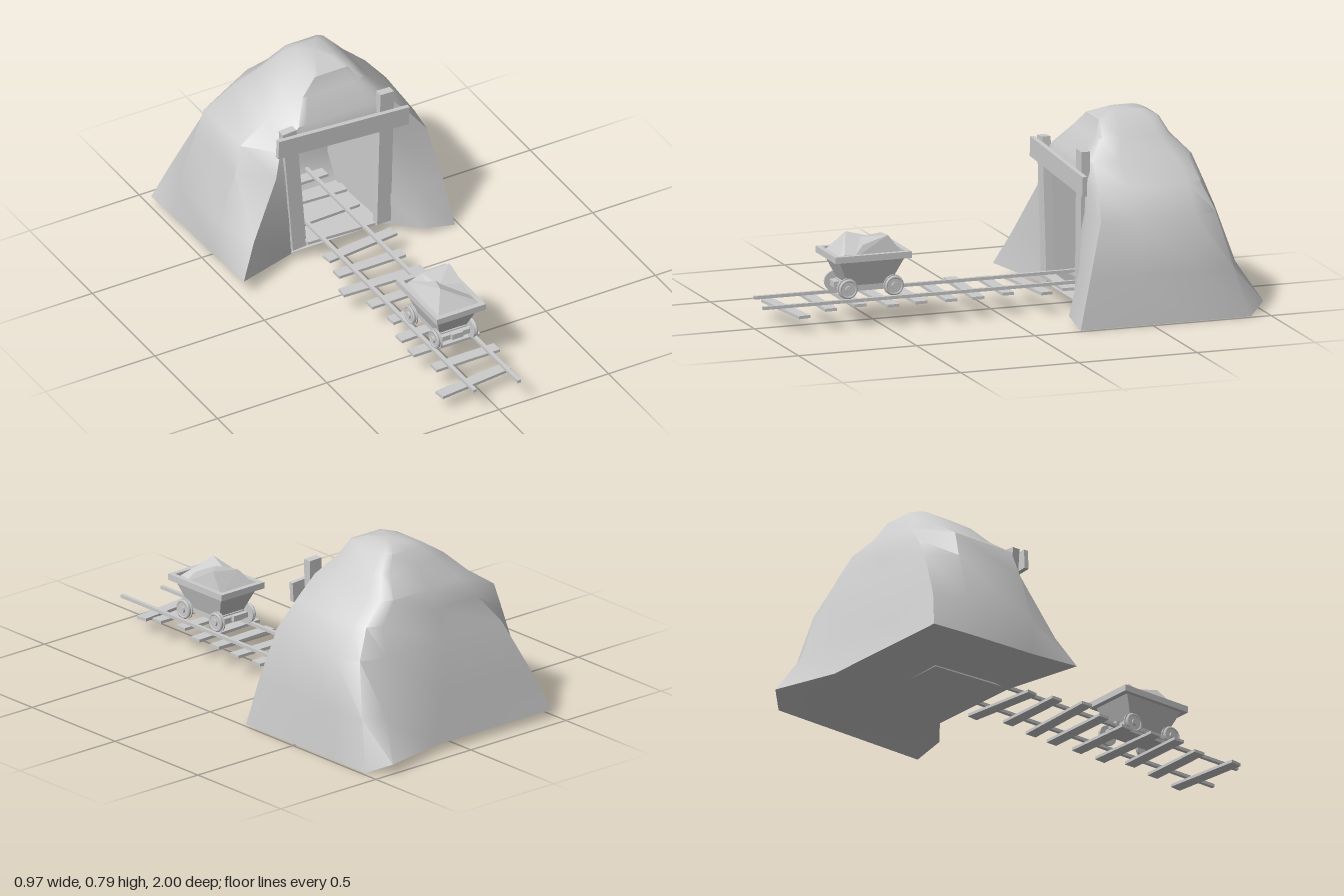
import * as THREE from 'three';
import { toCreasedNormals } from 'three/addons/utils/BufferGeometryUtils.js';
import { ConvexGeometry } from 'three/addons/geometries/ConvexGeometry.js';

const smooth = new THREE.MeshStandardMaterial({ color: 0xcccccc });
const flat = new THREE.MeshStandardMaterial({ color: 0xcccccc, flatShading: true });
const thin = new THREE.MeshStandardMaterial({ color: 0xcccccc, side: THREE.DoubleSide });

function add(parent, name, geometry, material = flat, pos = [0, 0, 0], rot = [0, 0, 0]) {
  const mesh = new THREE.Mesh(geometry, material);
  mesh.name = name;
  mesh.position.set(...pos);
  mesh.rotation.set(...rot);
  parent.add(mesh);
  return mesh;
}
const box = (parent, name, size, pos, rot) => add(parent, name, new THREE.BoxGeometry(...size), flat, pos, rot);

// Collects triangles, then smooths everything softer than the crease angle
function soup() {
  const v = [];
  const tri = (...p) => p.forEach((q) => v.push(...q));
  return {
    tri,
    quad(a, b, c, d) { tri(a, b, c); tri(a, c, d); },
    build(crease) {
      const g = new THREE.BufferGeometry();
      g.setAttribute('position', new THREE.Float32BufferAttribute(v, 3));
      return toCreasedNormals(g, crease);
    },
  };
}

// Rock hill: rings run from the left edge of the opening, round the back, to its right edge
function hillGeometry() {
  const foot = [[-.2, -.31], [-.485, -.19], [-.485, -.42], [-.485, -.74], [-.485, -.93], [.13, -.93], [.41, -1],
    [.485, -.92], [.485, -.72], [.485, -.45], [.485, -.2], [.35, -.2], [.22, -.31]];
  const footY = [.03, .065, .05, .04, .03, .03, .04, 0, 0, 0, 0, .03, .03];
  const low = [[-.2, -.305], [-.41, -.24], [-.47, -.41], [-.47, -.74], [-.42, -.88], [.05, -.89], [.36, -.9],
    [.45, -.86], [.468, -.71], [.466, -.45], [.46, -.25], [.33, -.25], [.22, -.305]];
  const mid = [[-.2, -.305], [-.275, -.3], [-.4, -.41], [-.4, -.73], [-.31, -.83], [0, -.835], [.3, -.835],
    [.41, -.8], [.455, -.7], [.44, -.45], [.42, -.31], [.29, -.3], [.22, -.305]];
  const shoulder = [[-.2, -.31], [-.25, -.31], [-.365, -.43], [-.365, -.72], [-.22, -.79], [0, -.79], [.28, -.79],
    [.34, -.76], [.36, -.7], [.36, -.45], [.33, -.33], [.27, -.31], [.22, -.31]];
  const rings = [foot.map(([x, z], i) => [x, footY[i], z])];
  [[low, .2], [mid, .42], [shoulder, .535]].forEach(([r, y]) => rings.push(r.map(([x, z]) => [x, y, z])));
  // The summit repeats the shoulder ring, squeezed into smaller rectangles
  [[.62, -.24, .265, -.32, -.77], [.7, -.16, .2, -.39, -.695], [.762, -.065, .145, -.415, -.665],
    [.786, -.01, .1, -.48, -.62]].forEach(([y, x0, x1, z0, z1]) => rings.push(shoulder.map(([x, z]) => [
    THREE.MathUtils.mapLinear(x, -.365, .36, x0, x1), y, THREE.MathUtils.mapLinear(z, -.31, -.79, z0, z1)])));
  const s = soup();
  const n = foot.length;
  for (let r = 0; r < rings.length - 1; r++) {
    const columns = r >= 3 ? n : n - 1; // the front stays open below the beam
    for (let j = 0; j < columns; j++) {
      const k = (j + 1) % n;
      s.quad(rings[r][j], rings[r + 1][j], rings[r + 1][k], rings[r][k]);
    }
  }
  const top = rings.at(-1);
  top.forEach((p, j) => s.tri(p, [.045, .79, -.55], top[(j + 1) % n]));
  // Underside
  const outline = foot.map(([x, z]) => new THREE.Vector2(x, z));
  THREE.ShapeUtils.triangulateShape(outline, []).forEach(([a, b, c]) => {
    const [A, B, C] = [outline[a], outline[b], outline[c]];
    const facesDown = B.clone().sub(A).cross(C.clone().sub(A)) > 0;
    s.tri(rings[0][a], rings[0][facesDown ? b : c], rings[0][facesDown ? c : b]);
  });
  return s.build(0.75);
}

// Tunnel hollow: a side profile spanned between slightly converging walls
function tunnelGeometry() {
  const profile = [[-.31, .535], [-.7, .52], [-.72, .14], [-.66, .035], [-.31, .035]];
  const wall = (left) => profile.map(([z, y]) => {
    const t = (-.31 - z) / .41;
    return [left ? -.2 + .03 * t : .22 - .02 * t, y, z];
  });
  const [L, R] = [wall(true), wall(false)];
  const s = soup();
  for (let i = 0; i < 4; i++) s.quad(L[i], R[i], R[i + 1], L[i + 1]);
  for (let i = 1; i < 4; i++) {
    s.tri(L[0], L[i], L[i + 1]);
    s.tri(R[0], R[i + 1], R[i]);
  }
  return s.build(0.9);
}

function buildCart() {
  const cart = new THREE.Group();
  cart.name = 'mineCart';
  const zc = .537;

  // Tapered tub, four-sided
  const tub = new THREE.CylinderGeometry(Math.SQRT1_2, Math.SQRT1_2 * .63, .11, 4).rotateY(Math.PI / 4).scale(.19, 1, .28);
  add(cart, 'tub', tub, flat, [0, .212, zc]);

  // Rim frame
  const rim = new THREE.Shape([[-.112, -.162], [.112, -.162], [.112, .162], [-.112, .162]].map((p) => new THREE.Vector2(...p)));
  rim.holes.push(new THREE.Path([[-.092, -.14], [-.092, .14], [.092, .14], [.092, -.14]].map((p) => new THREE.Vector2(...p))));
  add(cart, 'rim', new THREE.ExtrudeGeometry(rim, { depth: .026, bevelEnabled: false }).rotateX(-Math.PI / 2), flat, [0, .263, zc]);

  // Load of two overlapping rocks
  const rock = (points) => add(cart, 'rock', new ConvexGeometry(points.map((p) => new THREE.Vector3(...p))));
  rock([[-.092, .27, .4], [.092, .27, .4], [.092, .27, .676], [-.092, .27, .676], [-.08, .295, .42],
    [.085, .29, .65], [-.04, .356, .6], [-.01, .335, .5]]);
  rock([[-.092, .27, .4], [.092, .27, .4], [.092, .27, .62], [-.05, .27, .6], [.08, .356, .465],
    [.08, .325, .57], [-.015, .335, .55], [-.04, .34, .45]]);

  // Chassis with end buffers
  box(cart, 'chassis', [.12, .03, .2], [0, .153, zc]);
  for (const side of [-1, 1]) {
    box(cart, 'endBeam', [.125, .022, .02], [0, .152, zc + side * .11]);
    box(cart, 'buffer', [.05, .024, .02], [0, .158, zc + side * .125]);
  }

  // Axles and wheels
  for (const z of [.635, .44]) {
    const axle = new THREE.CylinderGeometry(.009, .009, .18, 8).rotateZ(Math.PI / 2);
    add(cart, 'axle', axle, flat, [0, .15, z]);
    for (const side of [-1, 1]) {
      const wheel = new THREE.Group();
      wheel.name = 'wheel';
      wheel.position.set(side * .083, .15, z);
      cart.add(wheel);
      const disc = (name, r, w, x) => add(wheel, name, toCreasedNormals(
        new THREE.CylinderGeometry(r, r, w, 18).rotateZ(Math.PI / 2), 0.6), smooth, [x, 0, 0]);
      disc('tread', .036, .014, 0);
      disc('flange', .042, .005, -side * .008);
      disc('hub', .014, .01, side * .01);
      add(wheel, 'tyre', new THREE.TorusGeometry(.034, .006, 6, 18).rotateY(Math.PI / 2), smooth, [side * .004, 0, 0]);
    }
  }
  return cart;
}

export function createModel() {
  const model = new THREE.Group();
  model.name = 'mineEntrance';

  add(model, 'hill', hillGeometry(), smooth);
  add(model, 'tunnel', tunnelGeometry(), thin);

  // Crooked timber frame
  box(model, 'leftPost', [.062, .575, .035], [-.196, .347, -.306], [0, 0, .08]);
  box(model, 'rightPost', [.062, .62, .035], [.219, .361, -.306], [0, 0, -.025]);
  box(model, 'lintel', [.597, .081, .02], [.018, .561, -.28], [0, 0, -.062]);

  // Track: rails and uneven sleepers [x, z, length, turn, y]
  box(model, 'leftRail', [.015, .013, 1.7], [.092, .104, .15]);
  box(model, 'rightRail', [.015, .013, 1.67], [-.092, .104, .135]);
  [[0, -.66, .31, 0, .09], [.01, -.54, .32, -.05, .09], [0, -.41, .32, .04, .09], [0, -.28, .3, -.05, .09],
    [.023, -.15, .33, .11, .09], [-.008, -.02, .305, 0, .091], [-.022, .105, .365, -.04, .088],
    [.01, .23, .325, 0, .091], [.017, .36, .3, .03, .091], [0, .48, .33, .04, .087], [-.022, .6, .305, 0, .091],
    [0, .73, .29, 0, .087], [-.035, .855, .335, .11, .063],
  ].forEach(([x, z, length, turn, y]) => box(model, 'sleeper', [length, .012, .05], [x, y, z], [0, turn, 0]));

  model.add(buildCart());
  return model;
}
